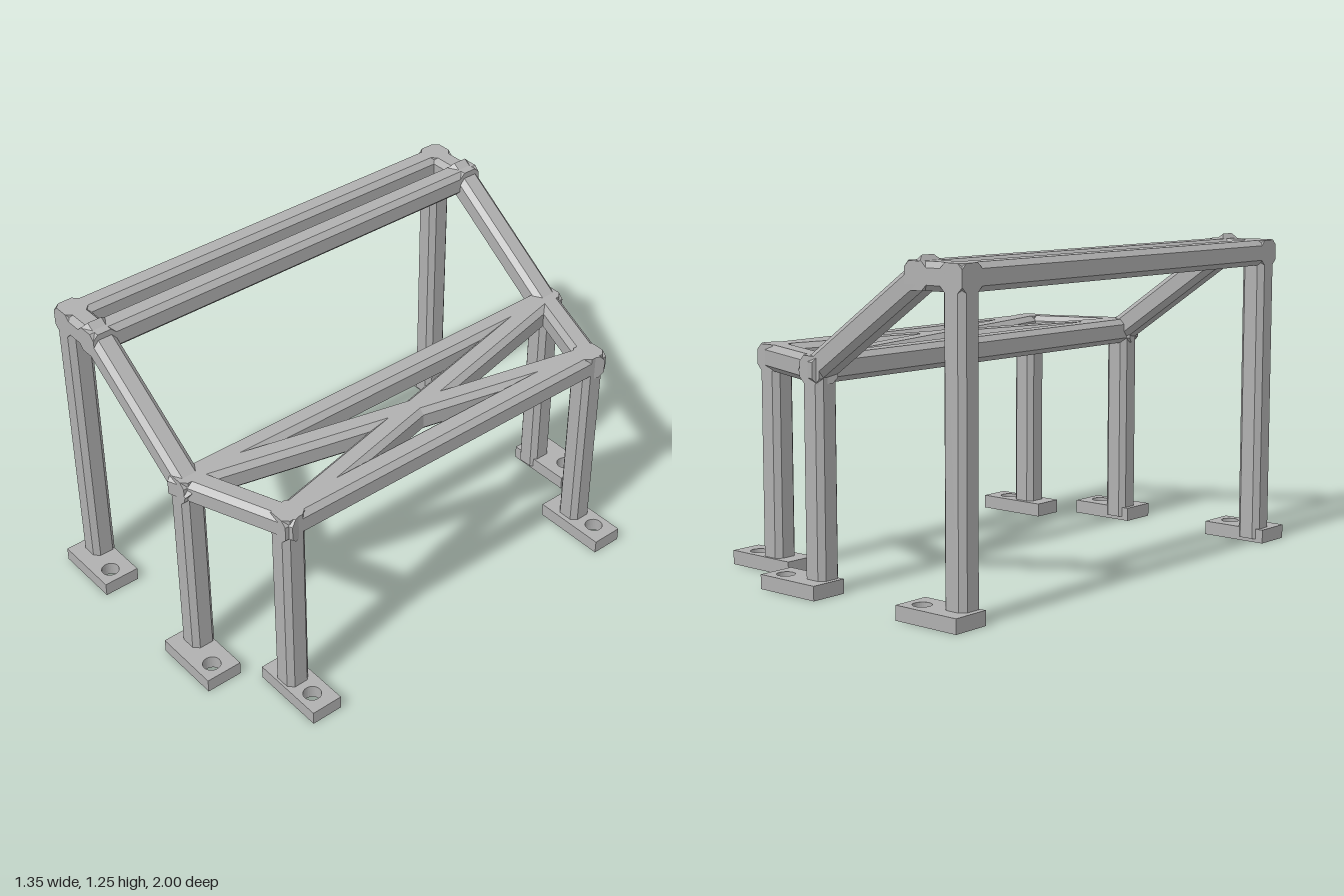
import * as THREE from 'three';

const steel = new THREE.MeshStandardMaterial({ color: 0xb0b0b0 });
steel.name = 'steel grey';

const HALF = 0.05; // half the beam width
const CUT = 0.021; // chamfer along the beam edges

// Chamfered square cross-section shared by every beam
function beamSection() {
  const a = HALF, b = HALF - CUT;
  return new THREE.Shape([
    [b, -a], [a, -b], [a, b], [b, a], [-b, a], [-a, b], [-a, -b], [-b, -a],
  ].map(([x, y]) => new THREE.Vector2(x, y)));
}

// Beam between two nodes, running past each one by the given amount
function beam(name, from, to, startOver = HALF, endOver = HALF) {
  const a = new THREE.Vector3(...from), b = new THREE.Vector3(...to);
  const dir = b.clone().sub(a).normalize();
  a.addScaledVector(dir, -startOver);
  b.addScaledVector(dir, endOver);
  const geo = new THREE.ExtrudeGeometry(beamSection(), { depth: a.distanceTo(b), bevelEnabled: false });
  const mesh = new THREE.Mesh(geo, steel);
  if (Math.abs(dir.y) > 0.99) mesh.up.set(0, 0, 1);
  mesh.position.copy(a);
  mesh.lookAt(b);
  mesh.name = name;
  return mesh;
}

// Flat foot with a round bolt hole
function footPlate(name, x0, x1, z0, z1, holeX, holeZ) {
  const shape = new THREE.Shape([
    new THREE.Vector2(x0, -z0), new THREE.Vector2(x0, -z1),
    new THREE.Vector2(x1, -z1), new THREE.Vector2(x1, -z0),
  ]);
  const hole = new THREE.Path();
  hole.absarc(holeX, -holeZ, 0.035, 0, Math.PI * 2, true);
  shape.holes.push(hole);
  const geo = new THREE.ExtrudeGeometry(shape, { depth: 0.055, bevelEnabled: false, curveSegments: 16 });
  geo.rotateX(-Math.PI / 2);
  const mesh = new THREE.Mesh(geo, steel);
  mesh.name = name;
  return mesh;
}

export function createModel() {
  const group = new THREE.Group();
  group.name = 'tubeFrame';

  const highY = 1.18, lowY = 0.82;
  const backX = -0.603, ridgeX = -0.44, midX = 0.08, outerX = 0.472;
  const wideZ = 0.89, narrowZ = 0.74;

  for (const s of [1, -1]) {
    const side = s > 0 ? 'Front' : 'Back';
    const back = [backX, highY, s * wideZ], ridge = [ridgeX, highY, s * wideZ];
    const mid = [midX, lowY, s * wideZ], outer = [outerX, lowY, s * narrowZ];

    // Upright posts
    [['tallPost', back], ['middlePost', mid], ['outerPost', outer]].forEach(([n, p]) =>
      group.add(beam(n + side, [p[0], 0.015, p[2]], p, 0, HALF)));

    // End rails stepping down from the tall post to the outer post
    group.add(
      beam('topRail' + side, back, ridge),
      beam('slopedRail' + side, ridge, mid),
      beam('angledRail' + side, mid, outer),
    );

    // Crossed brace
    group.add(beam('crossBrace' + side, [0.095, lowY, s * 0.86], [0.47, lowY, -s * narrowZ], 0, 0));

    // Foot plates, mirrored about the middle
    const plate = (n, x0, x1, za, zb, hx, hz) =>
      group.add(footPlate(n + side, x0, x1, Math.min(s * za, s * zb), Math.max(s * za, s * zb), hx, s * hz));
    plate('tallFoot', -0.675, -0.395, 0.85, 1, -0.46, 0.935);
    plate('middleFoot', 0.01, 0.29, 0.85, 1, 0.225, 0.935);
    plate('outerFoot', 0.36, 0.67, 0.67, 0.8, 0.588, 0.74);
  }

  // Long beams across the frame
  [['backBeam', backX, highY, wideZ], ['ridgeBeam', ridgeX, highY, wideZ],
    ['middleBeam', midX, lowY, wideZ], ['outerBeam', outerX, lowY, narrowZ],
  ].forEach(([n, x, y, z]) => group.add(beam(n, [x, y, -z], [x, y, z])));

  return group;
}
